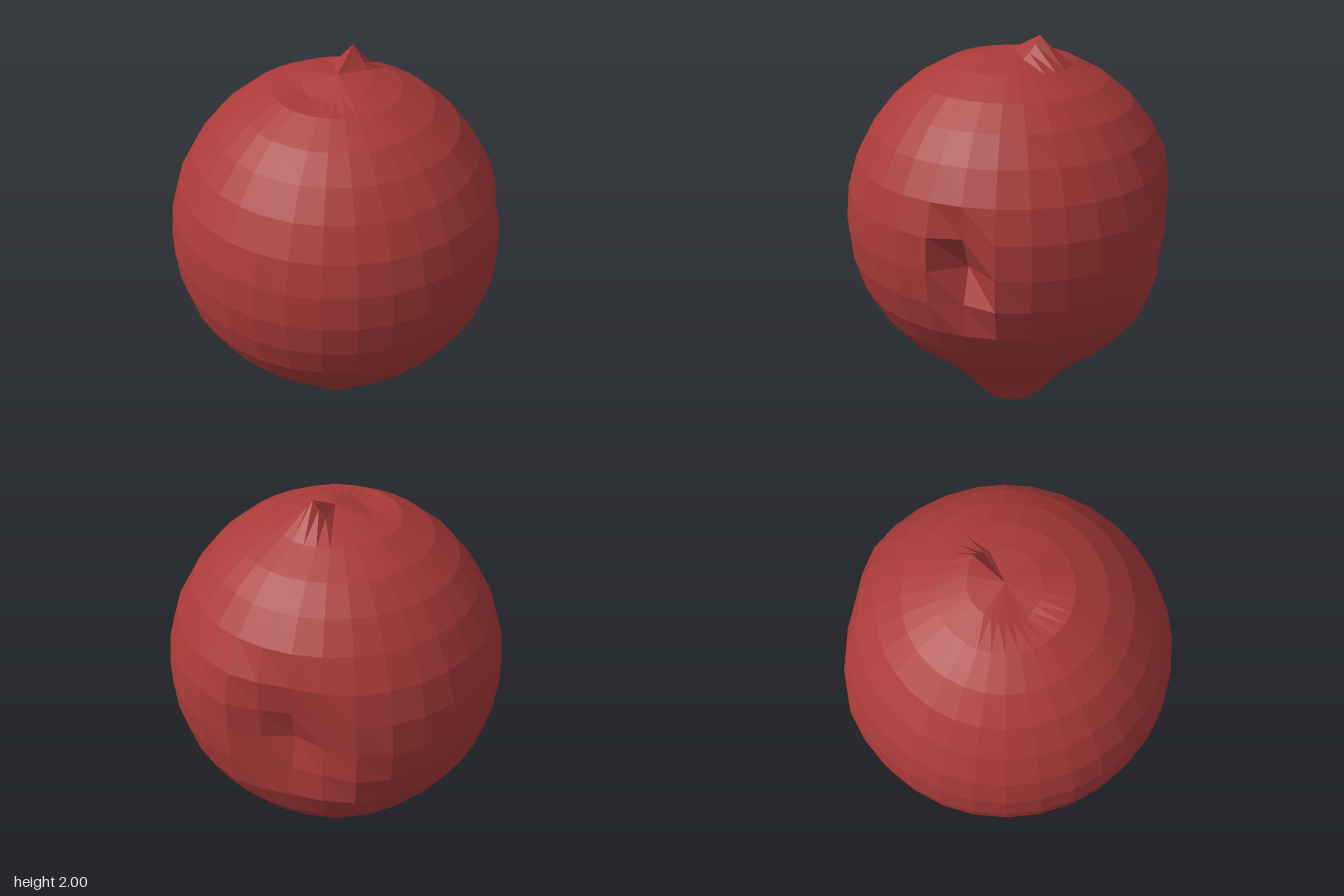
import * as THREE from 'three';

const SIDES = 32;
const STEP = (Math.PI * 2) / SIDES;
const MID = 1.1; // height of the widest ring

// Half profile of the bulb, [radius, height], from the lower point to the crown
const PROFILE = [
  [0, 0], [0.155, 0.1], [0.31, 0.29], [0.44, 0.415], [0.57, 0.525], [0.67, 0.65],
  [0.75, 0.79], [0.795, 0.945], [0.81, MID], [0.795, 1.26], [0.75, 1.41],
  [0.67, 1.555], [0.57, 1.68], [0.45, 1.78], [0.3, 1.86], [0.16, 1.9], [0, 1.915],
];

// Dents pressed into the side: angle from +z towards +x, reach, depth, sideways squeeze
const DENTS = [
  { angle: STEP * 9, reach: 0.24, depth: 0.14, squeeze: 1.4 },
  { angle: STEP * 17, reach: 0.4, depth: 0.15, squeeze: 1 },
];

// Lumps on the crown: centre, reach, change of height
const LUMPS = [
  { x: 0.031, z: -0.157, reach: 0.085, lift: 0.1 },
  { x: -0.07, z: 0.11, reach: 0.17, lift: -0.05 },
];

const falloff = (distance, reach) => Math.max(0, 1 - distance / reach);

function makeBody() {
  const points = PROFILE.map(([r, y]) => new THREE.Vector2(r, y));
  const geometry = new THREE.LatheGeometry(points, SIDES);
  const pos = geometry.attributes.position;
  for (let i = 0; i < pos.count; i++) {
    let x = pos.getX(i), y = pos.getY(i), z = pos.getZ(i);
    if (y > 0.5 && y < 1.7) {
      // Push the side inward around each dent
      const r = Math.hypot(x, z);
      let push = 0;
      for (const d of DENTS) {
        const turn = Math.atan2(x, z) - d.angle;
        const arc = Math.atan2(Math.sin(turn), Math.cos(turn)) * 0.81;
        push += d.depth * falloff(Math.hypot(arc * d.squeeze, y - MID), d.reach);
      }
      x *= 1 - push / r;
      z *= 1 - push / r;
    } else if (y > 1.88 && y < 1.91) {
      // Raise the small peak and sink the hollow on the crown
      for (const l of LUMPS) y += l.lift * falloff(Math.hypot(x - l.x, z - l.z), l.reach);
    }
    pos.setXYZ(i, x, y, z - 0.02);
  }
  // Separate faces for a faceted look
  const faceted = geometry.toNonIndexed();
  faceted.computeVertexNormals();
  return faceted;
}

export function createModel() {
  const group = new THREE.Group();
  group.name = 'dentedBulb';
  const red = new THREE.MeshStandardMaterial({ color: 0xab3a3a, flatShading: true });
  red.name = 'brick red';
  const body = new THREE.Mesh(makeBody(), red);
  body.name = 'body';
  group.add(body);
  return group;
}
